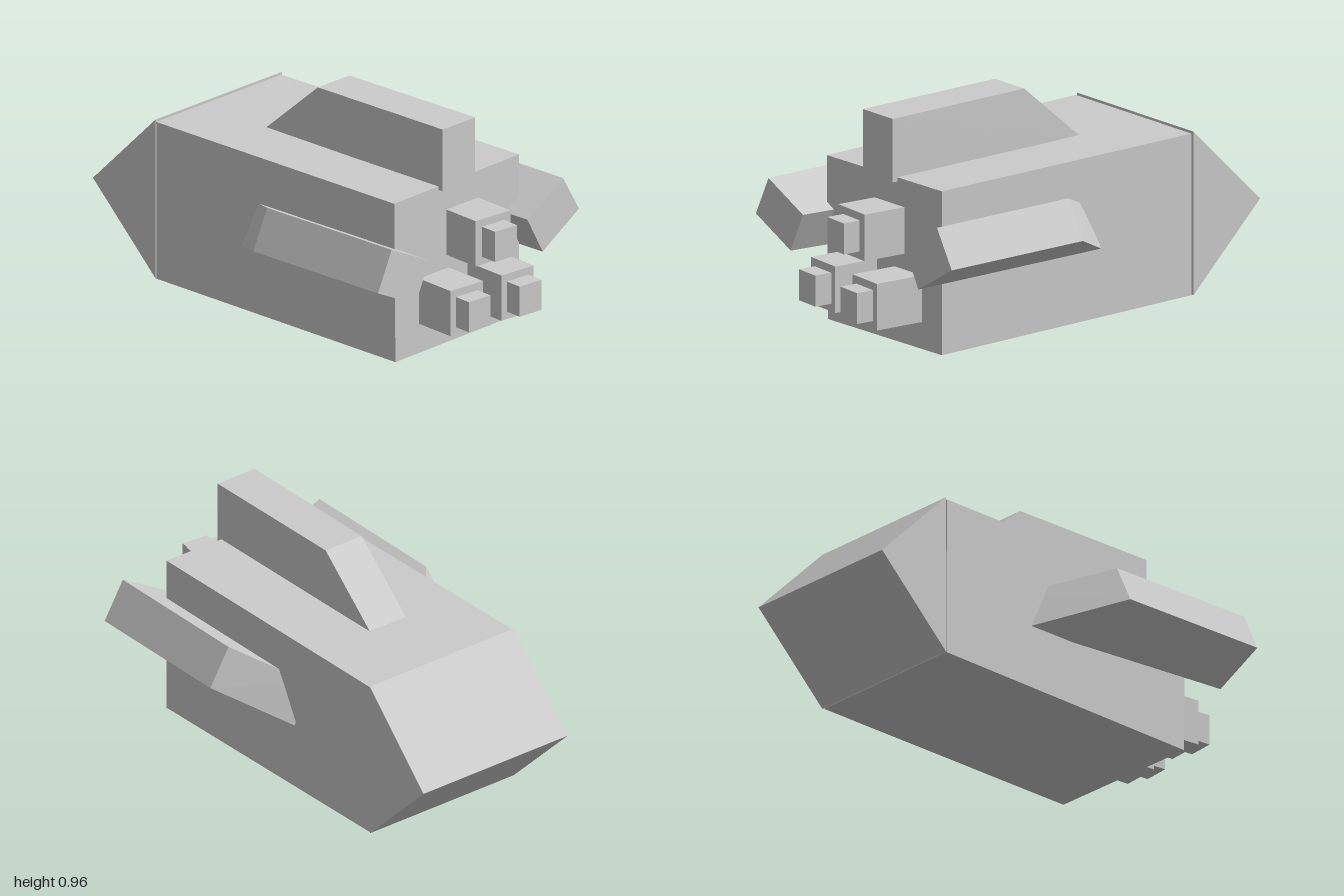
import * as THREE from 'three';

const material = new THREE.MeshStandardMaterial({ color: 0xcccccc, flatShading: true });

// Block between a front and a back outline; four [x, y, z] corners each, counter-clockwise seen from +z
function block(name, front, back) {
  const positions = [];
  const quad = (a, b, c, d) => positions.push(...a, ...b, ...c, ...a, ...c, ...d);
  quad(...front);
  quad(back[1], back[0], back[3], back[2]);
  for (let i = 0; i < 4; i++) {
    const j = (i + 1) % 4;
    quad(back[i], back[j], front[j], front[i]);
  }
  const geometry = new THREE.BufferGeometry();
  geometry.setAttribute('position', new THREE.Float32BufferAttribute(positions, 3));
  geometry.computeVertexNormals();
  const mesh = new THREE.Mesh(geometry, material);
  mesh.name = name;
  return mesh;
}

const rect = (x0, x1, y0, y1, z) => [[x0, y0, z], [x1, y0, z], [x1, y1, z], [x0, y1, z]];

function box(name, w, h, d, x, y, z) {
  const mesh = new THREE.Mesh(new THREE.BoxGeometry(w, h, d), material);
  mesh.name = name;
  mesh.position.set(x, y, z);
  return mesh;
}

// Thruster whose outer face is centred on (x, y, z), with a smaller nozzle, turned slightly sideways
function engine(name, x, y, z, width) {
  const group = new THREE.Group();
  group.name = name;
  group.add(box('engineBlock', width, 0.2, 0.3, 0, 0, -0.15));
  group.add(box('engineNozzle', 0.12, 0.133, 0.16, 0, 0, 0));
  group.position.set(x, y, z);
  group.rotation.y = -0.085;
  return group;
}

export function createModel() {
  const model = new THREE.Group();
  model.name = 'spaceship';

  // Hull, very slightly skewed along its length
  model.add(block('hull',
    [[-0.348, 0, 0.7], [0.395, 0.008, 0.7], [0.395, 0.712, 0.7], [-0.355, 0.702, 0.7]],
    [[-0.365, 0.022, -0.64], [0.386, 0.022, -0.64], [0.386, 0.716, -0.64], [-0.368, 0.716, -0.64]]));

  // Wedge nose ending in a horizontal edge
  model.add(block('nose',
    rect(-0.367, 0.393, 0.023, 0.725, -0.645),
    rect(-0.367, 0.393, 0.374, 0.375, -1)));

  // Dorsal fin with a sloping end
  model.add(block('dorsalFin',
    rect(-0.09, 0.105, 0.69, 0.963, 0.725),
    [[-0.092, 0.69, -0.3], [0.098, 0.69, -0.3], [0.098, 0.965, 0.018], [-0.092, 0.965, 0.018]]));

  // Side fins, tilted outwards and tapering towards the hull
  model.add(block('leftFin',
    [[0.4, 0.315, 0.83], [0.618, 0.445, 0.83], [0.522, 0.607, 0.83], [0.308, 0.482, 0.83]],
    [[0.396, 0.313, -0.15], [0.618, 0.445, 0.13], [0.522, 0.607, 0.13], [0.304, 0.48, -0.15]]));
  model.add(block('rightFin',
    [[-0.395, 0.312, 0.86], [-0.315, 0.483, 0.86], [-0.54, 0.592, 0.86], [-0.622, 0.422, 0.86]],
    [[-0.345, 0.285, -0.18], [-0.265, 0.458, -0.18], [-0.54, 0.592, 0.152], [-0.622, 0.422, 0.152]]));

  // Three thrusters
  model.add(engine('lowerRightEngine', -0.133, 0.23, 0.902, 0.178));
  model.add(engine('upperEngine', 0.038, 0.49, 0.89, 0.192));
  model.add(engine('lowerLeftEngine', 0.157, 0.222, 0.917, 0.178));

  return model;
}
